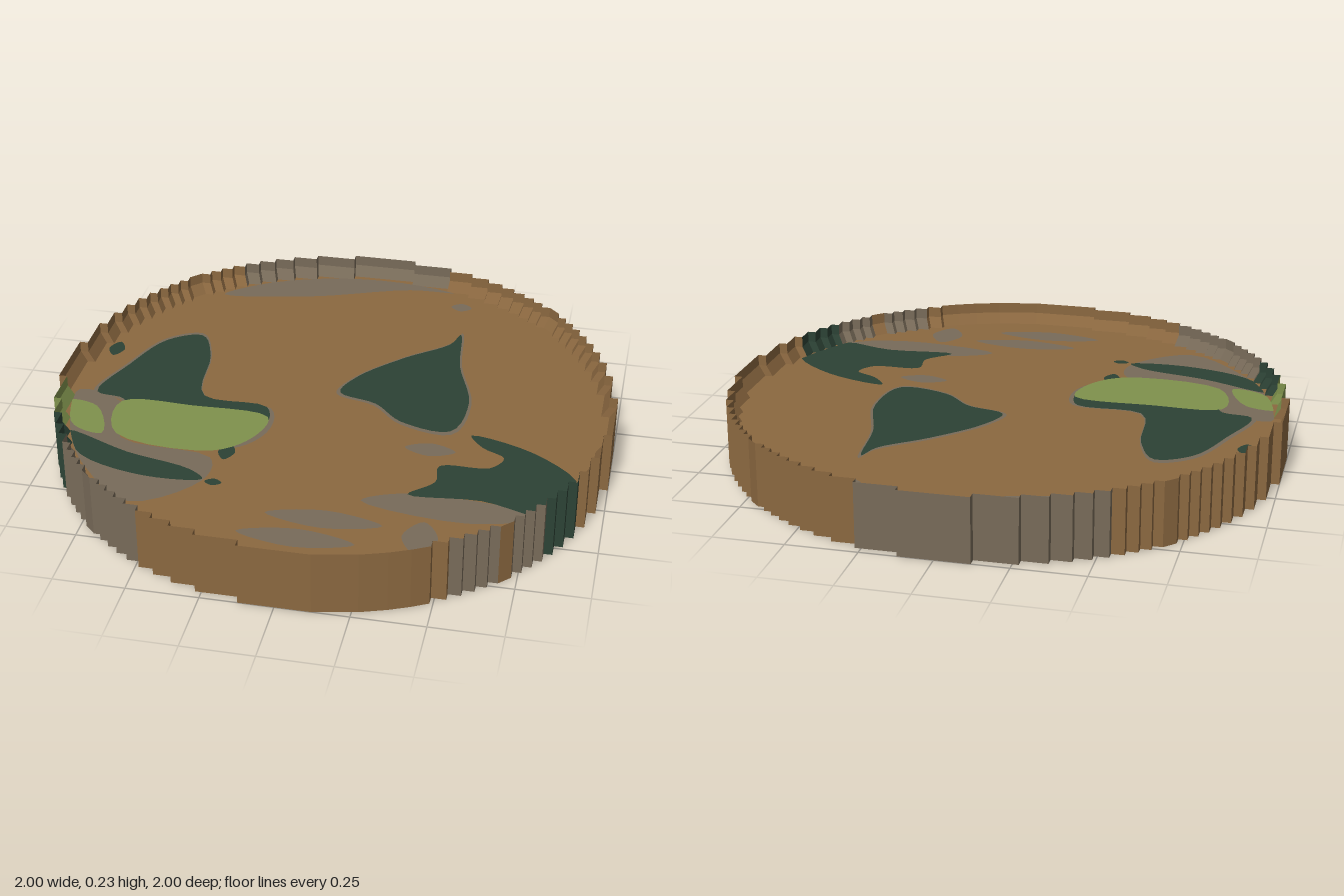
import * as THREE from 'three';

const TOP = 0.23, LEDGE = 0.19, FLOOR = 0.15, INSET = 0.975;

// Stair-stepped circle: one quadrant of right-angled steps, turned four times
function steppedOutline() {
  const cell = 0.03, half = [];
  for (let k = 0; ; k++) {
    const x = 1 - cell * k, z = Math.sqrt(1 - (x - cell / 4) ** 2);
    if (z > x) break;
    if (k > 0) half.push([x, half[half.length - 1][1]]);
    half.push([x, z]);
  }
  let quadrant = [...half, ...half.map(([x, z]) => [z, x]).reverse()];
  const points = [];
  for (let q = 0; q < 4; q++) {
    // the front stretch is smooth: keep only the outer corners there
    points.push(...quadrant.filter(([x, z]) =>
      !(q === 0 && z > 0.85 && x > 0.03 && Math.hypot(x, z) < 0.99)));
    quadrant = quadrant.map(([x, z]) => [-z, x]);
  }
  return points;
}

// Rim colour bands: end angle in degrees from +x toward +z, and colour
const BANDS = [
  [22, 'soil'], [34, 'forest'], [43, 'rock'], [47, 'soil'], [57, 'rock'], [119, 'soil'],
  [150, 'rock'], [160, 'forest'], [171, 'grass'], [237, 'soil'], [288, 'rock'], [360, 'soil'],
];

// Oval spot as four corner points, later smoothed
const oval = (x, z, rx, rz) => [x + rx, z, x, z + rz, x - rx, z, x, z - rz];

// Map patches as x, z pairs in hundredths
const PATCHES = {
  rock: [
    [-60, -72, -26, -77, 12, -90, 30, -91, 0, -98, -40, -87],
    [-94, 8, -76, 14, -70, 36, -36, 42, -35, 56, -56, 73, -80, 52, -94, 29],
    [34, 50, 20, 57, 57, 63, 84, 54],
    oval(38, 22, 9, 4), oval(10, 70, 20, 5), oval(3, 82, 20, 5),
    oval(43, 74, 6, 9), oval(34, -80, 4, 3),
  ],
  forest: [
    [-60, -38, -53, -24, -48, 4, -24, 7, -22, 22, -32, 34, -70, 28, -76, 12, -87, 9, -81, -12, -72, -32],
    [37, -58, 40, -35, 47, -10, 43, 10, 25, 7, 14, -3, 0, -8, 4, -20, 19, -37, 34, -50],
    [51, 11, 74, 18, 92, 36, 84, 55, 60, 50, 35, 51, 43, 42, 43, 32, 60, 30, 64, 23, 56, 18],
    [-89, 36, -65, 45, -41, 51, -35, 56, -55, 58, -80, 50],
    oval(-89, -22, 3, 5), oval(-31, 57, 3, 2), oval(-31, 38, 3, 5),
  ],
  grass: [
    [-76, 14, -50, 12, -22, 14, -24, 28, -36, 39, -72, 35],
    [-95, 17, -84, 19, -77, 36, -88, 33],
  ],
};

// Smooth closed patch lying flat, kept inside the rim; grow widens it about its middle
function patchGeometry(flat, y, grow = 1) {
  const pts = [];
  for (let i = 0; i < flat.length; i += 2) pts.push(new THREE.Vector3(flat[i] / 100, 0, flat[i + 1] / 100));
  const mid = pts.reduce((s, p) => s.add(p), new THREE.Vector3()).divideScalar(pts.length);
  pts.forEach((p) => p.sub(mid).multiplyScalar(grow).add(mid));
  const curve = new THREE.CatmullRomCurve3(pts, true, 'centripetal');
  const outline = curve.getPoints(pts.length * 5).slice(0, -1).map((p) => {
    p.clampLength(0, 0.955);
    return new THREE.Vector2(p.x, -p.z);
  });
  return new THREE.ShapeGeometry(new THREE.Shape(outline)).rotateX(-Math.PI / 2).translate(0, y, 0);
}

function fromTriangles(array) {
  const g = new THREE.BufferGeometry();
  g.setAttribute('position', new THREE.Float32BufferAttribute(array, 3));
  g.computeVertexNormals();
  return g;
}

export function createModel() {
  const model = new THREE.Group();
  const colours = { soil: 0x8b6840, rock: 0x786b59, forest: 0x2c4235, grass: 0x7f924c };
  const mats = {}, tris = {}, floor = [];
  for (const key in colours) {
    mats[key] = new THREE.MeshStandardMaterial({ color: colours[key], side: THREE.DoubleSide });
    mats[key].name = key;
    tris[key] = [];
  }
  const add = (name, geometry, material) => {
    const mesh = new THREE.Mesh(geometry, material);
    mesh.name = name;
    model.add(mesh);
  };

  // Rim: thin wall, sloped inner foot and underside wedge, sorted by colour
  const outline = steppedOutline();
  outline.forEach(([ax, az], i) => {
    const [bx, bz] = outline[(i + 1) % outline.length];
    const angle = (THREE.MathUtils.radToDeg(Math.atan2(az + bz, ax + bx)) + 360) % 360;
    const list = tris[BANDS.find(([end]) => angle <= end)[1]];
    const a = (y, s = 1) => [ax * s, y, az * s], b = (y, s = 1) => [bx * s, y, bz * s];
    const quad = (p, q, r, t) => list.push(...p, ...q, ...r, ...p, ...r, ...t);
    quad(a(0), a(TOP), b(TOP), b(0));
    quad(a(LEDGE), b(LEDGE), b(FLOOR, INSET), a(FLOOR, INSET));
    list.push(0, 0, 0, ...a(0), ...b(0));
    floor.push(0, FLOOR, 0, ...b(FLOOR, INSET), ...a(FLOOR, INSET));
  });
  for (const key in tris) add(`${key}Rim`, fromTriangles(tris[key]), mats[key]);
  add('floor', fromTriangles(floor), mats.soil);

  // Map patches, stacked in thin layers, with a pale shore round the two main lands
  const height = { rock: FLOOR + 0.003, forest: FLOOR + 0.008, grass: FLOOR + 0.012 };
  for (const key in PATCHES) {
    PATCHES[key].forEach((p) => add(`${key}Patch`, patchGeometry(p, height[key]), mats[key]));
  }
  PATCHES.forest.slice(0, 2).forEach((p) => add('shore', patchGeometry(p, FLOOR + 0.005, 1.05), mats.rock));
  return model;
}
